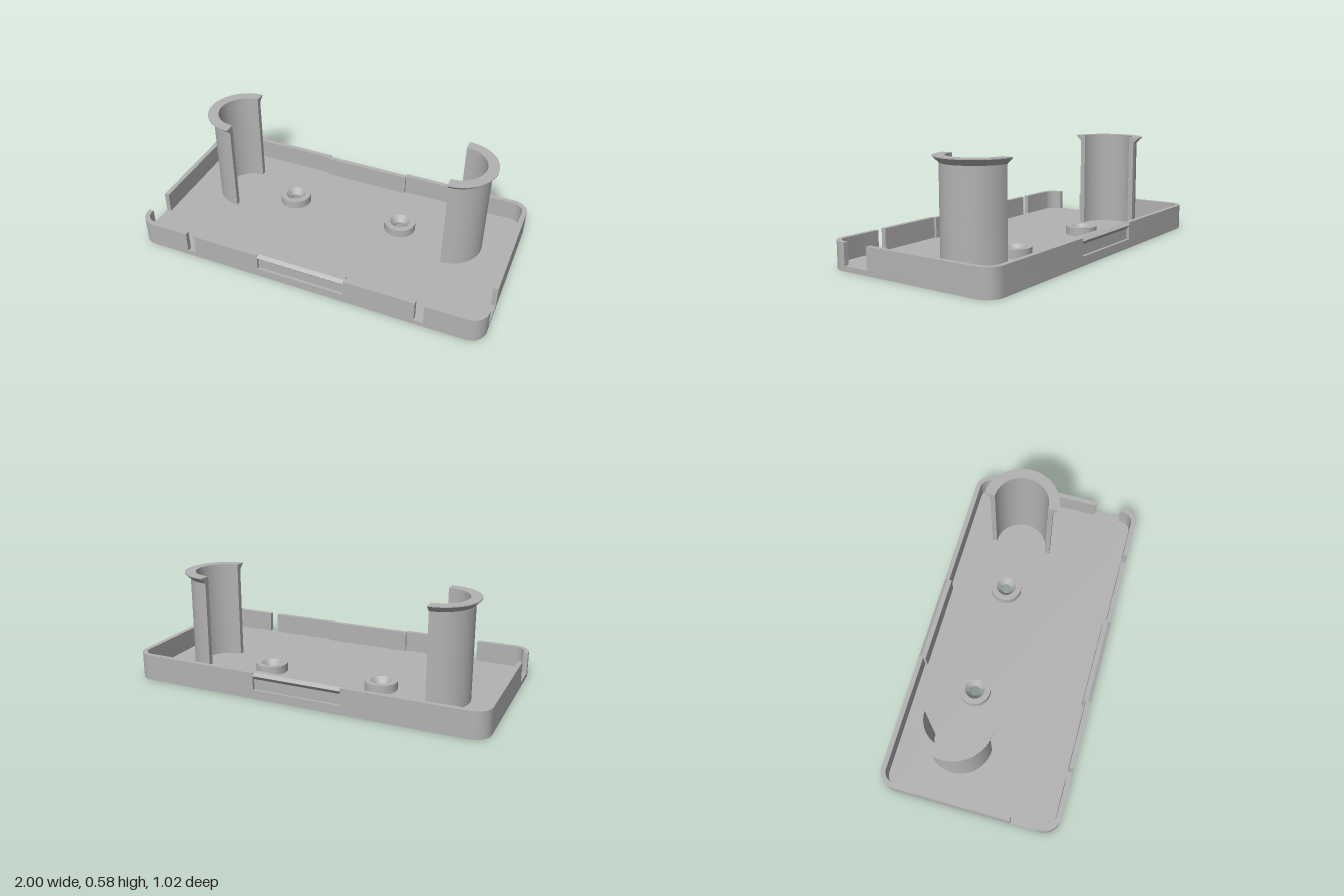
import * as THREE from 'three';
import { toCreasedNormals } from 'three/addons/utils/BufferGeometryUtils.js';

const W = 1, D = 0.507, T = 0.027, R = 0.09;       // half width, half depth, wall, corner radius
const FLOOR = 0.027, RIM = 0.145;
const BOSS_X = 0.333, BOSS_Z = -0.15;

const grey = new THREE.MeshStandardMaterial({ color: 0xb2b2b2 });
grey.name = 'plain grey';

// Points of a rounded corner in plan (x, z)
function corner(sx, sz, r, reverse = false) {
  const pts = [];
  for (let i = 0; i <= 10; i++) {
    const a = (i / 10) * Math.PI / 2;
    pts.push([sx * (W - R + r * Math.cos(a)), sz * (D - R + r * Math.sin(a))]);
  }
  return reverse ? pts.reverse() : pts;
}

const planShape = (pts) => new THREE.Shape(pts.map(([x, z]) => new THREE.Vector2(x, -z)));

// Extrude a plan shape upwards from y0 to y1
function slab(shape, y0, y1) {
  const g = new THREE.ExtrudeGeometry(shape, { depth: y1 - y0, bevelEnabled: false, curveSegments: 24 });
  g.rotateX(-Math.PI / 2);
  g.translate(0, y0, 0);
  return toCreasedNormals(g, 0.5);
}

function add(parent, name, geometry) {
  const mesh = new THREE.Mesh(geometry, grey);
  mesh.name = name;
  parent.add(mesh);
  return mesh;
}

// Half tube with a flared rim, open towards -x
function halfPost(name) {
  const post = new THREE.Group();
  post.name = name;
  const profile = [
    [0.153, FLOOR], [0.182, FLOOR], [0.182, 0.543], [0.213, 0.573], [0.213, 0.578], [0.153, 0.578], [0.153, FLOOR],
  ].map(([r, y]) => new THREE.Vector2(r, y));
  add(post, 'postShell', toCreasedNormals(new THREE.LatheGeometry(profile, 40, 0, Math.PI), 0.5));
  for (const s of [1, -1]) {
    const cut = new THREE.Shape(profile.slice(0, 6).map((p) => new THREE.Vector2(s * p.x, p.y)));
    add(post, 'postCutFace', new THREE.ShapeGeometry(cut).rotateY(-Math.PI / 2));
  }
  return post;
}

export function createModel() {
  const model = new THREE.Group();
  model.name = 'tray';

  // Floor plate with two screw holes
  const floor = planShape([
    ...corner(1, 1, R), ...corner(-1, 1, R, true), ...corner(-1, -1, R), ...corner(1, -1, R, true),
  ]);
  for (const s of [1, -1]) {
    floor.holes.push(new THREE.Path().absarc(s * BOSS_X, -BOSS_Z, 0.03, 0, Math.PI * 2, true));
  }
  add(model, 'floor', slab(floor, 0, FLOOR));

  for (const s of [1, -1]) {
    const side = s > 0 ? 'left' : 'right';

    // Front corner wall, between the side gap and the narrow slot
    add(model, side + 'FrontCornerWall', slab(planShape([
      [s * W, 0.4], ...corner(s, 1, R), [s * 0.69, D],
      [s * 0.69, D - T], ...corner(s, 1, R - T, true), [s * (W - T), 0.4],
    ]), FLOOR, RIM));

    // Front wall between the slot and the latch
    add(model, side + 'FrontWall', slab(planShape([
      [s * 0.25, D], [s * 0.64, D], [s * 0.64, D - T], [s * 0.25, D - T],
    ]), FLOOR, RIM));

    // Side wall running round to the back
    add(model, side + 'BackWall', slab(planShape([
      [s * W, 0.245], ...corner(s, -1, R), [s * 0.25, -D],
      [s * 0.25, -D + T], ...corner(s, -1, R - T, true), [s * (W - T), 0.245],
    ]), FLOOR, RIM));

    // Countersunk screw boss
    const boss = [[0.03, FLOOR], [0.09, FLOOR], [0.09, 0.075], [0.057, 0.075], [0.03, 0.04], [0.03, FLOOR]];
    const bossMesh = add(model, side + 'ScrewBoss', toCreasedNormals(
      new THREE.LatheGeometry(boss.map(([r, y]) => new THREE.Vector2(r, y)), 40), 0.5));
    bossMesh.position.set(s * BOSS_X, 0, BOSS_Z);

    // Flared half posts, opening towards the middle
    const post = halfPost(side + 'Post');
    post.position.set(s * 0.637, 0, -0.143);
    if (s < 0) post.rotation.y = Math.PI;
    model.add(post);

    // Thick latch wall with a recess below a snap ridge, front and back
    const latch = new THREE.Shape([
      [D, FLOOR], [D, 0.05], [0.491, 0.05], [0.491, 0.107], [0.51, 0.129],
      [0.491, RIM], [0.465, RIM], [0.465, FLOOR],
    ].map(([z, y]) => new THREE.Vector2(-z, y)));
    const g = new THREE.ExtrudeGeometry(latch, { depth: 0.506, bevelEnabled: false });
    g.translate(0, 0, -0.253);
    g.rotateY(s > 0 ? Math.PI / 2 : -Math.PI / 2);
    add(model, s > 0 ? 'frontLatch' : 'backLatch', g);
  }
  return model;
}
